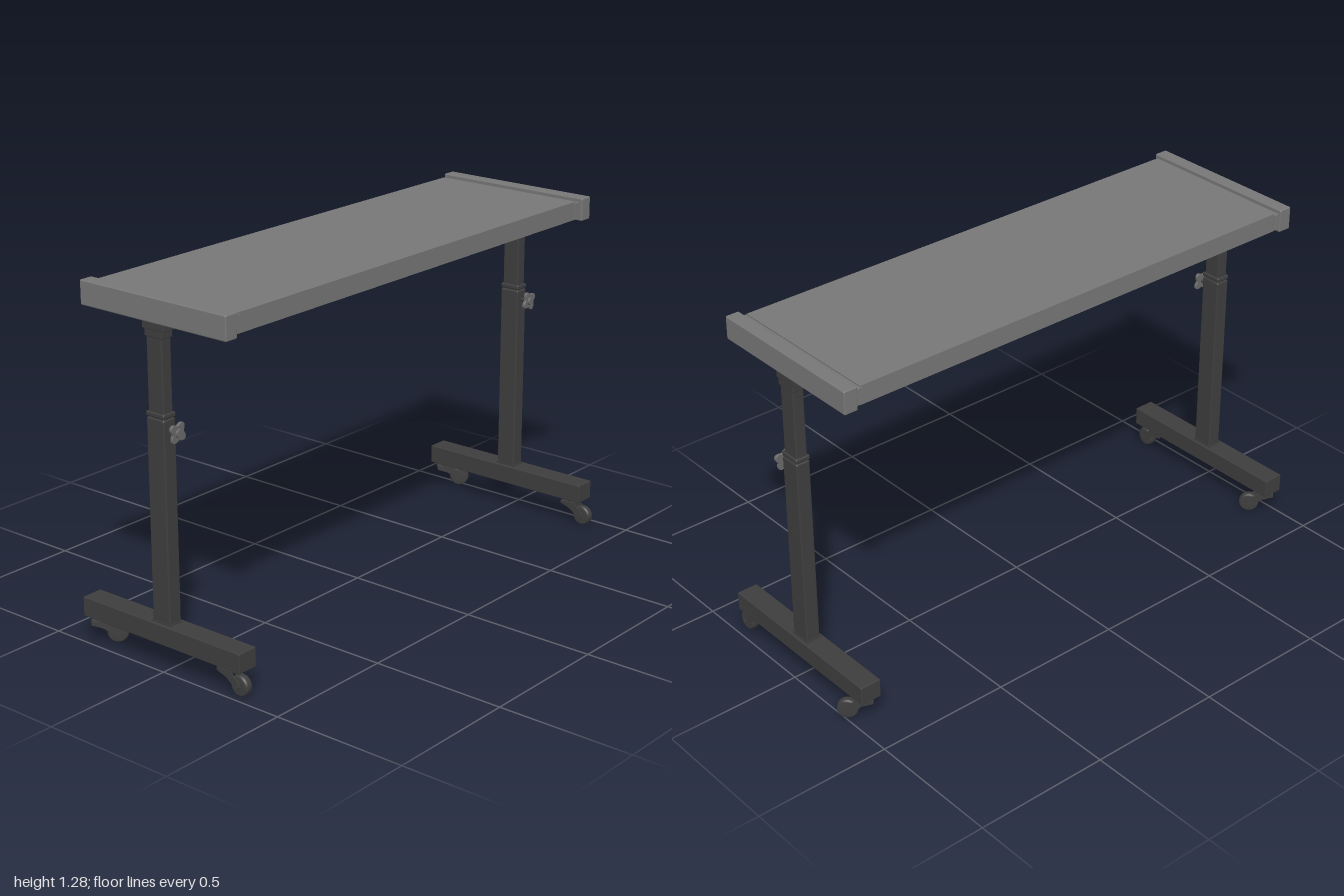
import * as THREE from 'three';
import { RoundedBoxGeometry } from 'three/addons/geometries/RoundedBoxGeometry.js';

const grey = new THREE.MeshStandardMaterial({ color: 0x777777 });
const dark = new THREE.MeshStandardMaterial({ color: 0x3e3e3e });
const knobGrey = new THREE.MeshStandardMaterial({ color: 0x6a6a6a });

const MID_Z = -0.015; // centre line of the columns, feet and top

function add(parent, name, geometry, material, x = 0, y = 0, z = 0) {
  const mesh = new THREE.Mesh(geometry, material);
  mesh.name = name;
  mesh.position.set(x, y, z);
  parent.add(mesh);
  return mesh;
}

// Box given by its width, depth and vertical range; softened edges when r > 0
function block(parent, name, material, w, y0, y1, d, r = 0, x = 0, z = 0) {
  const g = r ? new RoundedBoxGeometry(w, y1 - y0, d, 2, r) : new THREE.BoxGeometry(w, y1 - y0, d);
  return add(parent, name, g, material, x, (y0 + y1) / 2, z);
}

// Swivel caster trailing towards its local +z
function makeCaster() {
  const caster = new THREE.Group();
  caster.name = 'caster';
  add(caster, 'casterStem', new THREE.CylinderGeometry(0.017, 0.017, 0.02, 20), dark, 0, 0.092, 0);
  block(caster, 'forkCrown', dark, 0.042, 0.077, 0.086, 0.062, 0, 0, -0.008);

  // Two fork cheeks reaching down to the axle
  const side = new THREE.Shape([
    [-0.039, 0.084], [0.02, 0.084], [0.058, 0.052], [0.061, 0.04], [0.053, 0.031],
    [0.042, 0.031], [0.0, 0.062], [-0.039, 0.075],
  ].map(([z, y]) => new THREE.Vector2(z, y)));
  const cheek = new THREE.ExtrudeGeometry(side, { depth: 0.004, bevelEnabled: false });
  cheek.translate(0, 0, -0.002).rotateY(-Math.PI / 2);
  for (const s of [-1, 1]) add(caster, 'forkCheek', cheek, dark, s * 0.019);

  // Wheel with a rounded tread
  const profile = [[0, -0.015], [0.03, -0.015], [0.035, -0.012], [0.037, -0.006],
    [0.037, 0.006], [0.035, 0.012], [0.03, 0.015], [0, 0.015]]
    .map(([r, h]) => new THREE.Vector2(r, h));
  const wheel = add(caster, 'wheel', new THREE.LatheGeometry(profile, 32), dark, 0, 0.041, 0.05);
  wheel.rotation.z = Math.PI / 2;
  const axle = add(caster, 'axle', new THREE.CylinderGeometry(0.007, 0.007, 0.05, 12), dark, 0, 0.041, 0.05);
  axle.rotation.z = Math.PI / 2;
  return caster;
}

// Lobed clamping knob on a threaded stem, facing +z
function makeKnob(turn) {
  const knob = new THREE.Group();
  knob.name = 'heightKnob';
  const points = [];
  for (let i = 0; i < 48; i++) {
    const a = (i / 48) * Math.PI * 2;
    const r = 0.03 + 0.007 * Math.cos(4 * a);
    points.push(new THREE.Vector2(r * Math.cos(a), r * Math.sin(a)));
  }
  const star = new THREE.ExtrudeGeometry(new THREE.Shape(points), {
    depth: 0.007, bevelThickness: 0.002, bevelSize: 0.002, bevelSegments: 2,
  });
  add(knob, 'knobStar', star, knobGrey, 0, 0, 0.053).rotation.z = turn;
  const stem = add(knob, 'knobStem', new THREE.CylinderGeometry(0.007, 0.007, 0.035, 16), dark, 0, 0, 0.037);
  const hub = add(knob, 'knobHub', new THREE.CylinderGeometry(0.014, 0.016, 0.018, 20), knobGrey, 0, 0, 0.061);
  stem.rotation.x = hub.rotation.x = Math.PI / 2;
  return knob;
}

// One leg: foot, telescopic column, bracket, knob and two casters
function makeLeg(frontCasterZ, knobTurn) {
  const leg = new THREE.Group();
  leg.name = 'leg';
  block(leg, 'foot', dark, 0.08, 0.1, 0.17, 0.71, 0.003, 0, MID_Z);
  block(leg, 'weldCollar', dark, 0.058, 0.168, 0.175, 0.084, 0, 0, MID_Z);
  block(leg, 'lowerColumn', dark, 0.054, 0.17, 0.88, 0.078, 0.006, 0, MID_Z);
  block(leg, 'columnCollar', dark, 0.056, 0.883, 0.9, 0.08, 0.005, 0, MID_Z);
  block(leg, 'upperColumn', dark, 0.044, 0.86, 1.19, 0.068, 0.006, 0, MID_Z);
  block(leg, 'bracketNeck', dark, 0.048, 1.148, 1.178, 0.078, 0.003, 0, MID_Z);
  block(leg, 'bracketPlate', dark, 0.05, 1.172, 1.198, 0.095, 0.003, 0, MID_Z);

  const knob = makeKnob(knobTurn);
  knob.position.y = 0.842;
  leg.add(knob);

  const front = makeCaster();
  front.position.z = frontCasterZ;
  const back = makeCaster();
  back.position.z = -0.32;
  back.rotation.y = Math.PI / 4;
  leg.add(front, back);
  return leg;
}

export function createModel() {
  const model = new THREE.Group();
  model.name = 'adjustableTable';
  const frame = new THREE.Group();
  frame.name = 'table';
  frame.position.x = -0.005;
  model.add(frame);

  // Table top with its end rails
  block(frame, 'tableTop', grey, 1.825, 1.203, 1.271, 0.605, 0, 0, -0.02);
  for (const s of [-1, 1]) {
    block(frame, 'endRail', grey, 0.052, 1.196, 1.281, 0.635, 0.005, s * 0.957, -0.017);
    block(frame, 'railSpacer', grey, 0.03, 1.208, 1.266, 0.615, 0, s * 0.922, -0.02);

    const leg = makeLeg(s > 0 ? 0.285 : 0.262, s > 0 ? 0.5 : 0.9);
    leg.position.x = s * 0.955;
    frame.add(leg);
  }
  return model;
}
